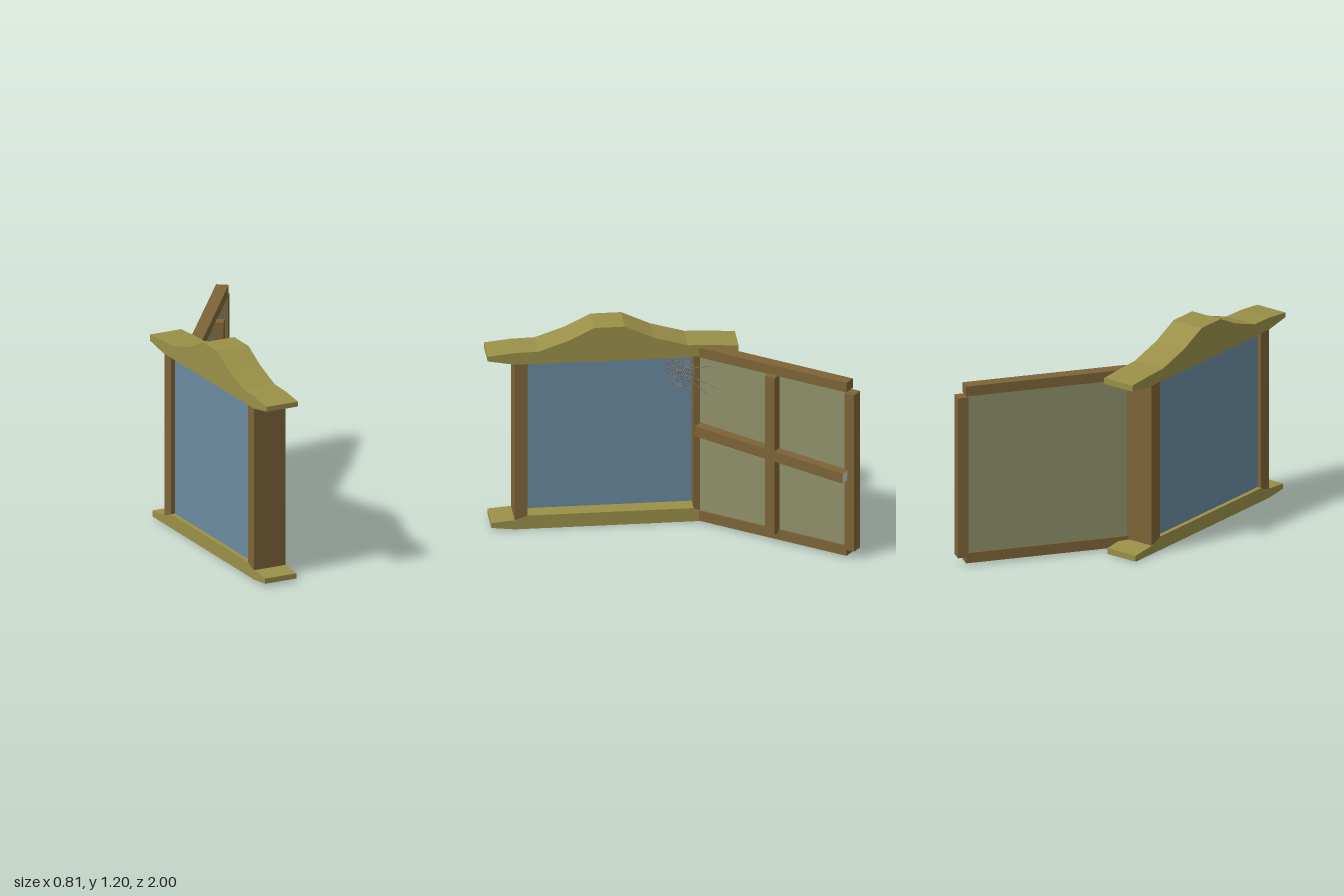
import * as THREE from 'three';
import { mergeGeometries } from 'three/addons/utils/BufferGeometryUtils.js';

const mat = (color) => new THREE.MeshStandardMaterial({ color, flatShading: true });

function add(parent, name, geometry, material) {
  const mesh = new THREE.Mesh(geometry, material);
  mesh.name = name;
  parent.add(mesh);
  return mesh;
}

// Box given by its minimum and maximum corners
function span(x0, x1, y0, y1, z0, z1) {
  return new THREE.BoxGeometry(x1 - x0, y1 - y0, z1 - z0)
    .translate((x0 + x1) / 2, (y0 + y1) / 2, (z0 + z1) / 2);
}

// Side profile of [z, y] points, extruded across the depth of the frame
function profile(points) {
  const shape = new THREE.Shape(points.map(([z, y]) => new THREE.Vector2(z, y)));
  return new THREE.ExtrudeGeometry(shape, { depth: 0.195, bevelEnabled: false })
    .rotateY(-Math.PI / 2).translate(-0.215, 0, 0);
}

// Thin straight thread between two points
function thread(a, b) {
  return new THREE.TubeGeometry(new THREE.LineCurve3(a, b), 1, 0.0022, 4);
}

export function createModel() {
  const group = new THREE.Group();
  const wood = mat(0x7d6438);
  const trim = mat(0x9a9048);
  const glass = mat(0x6a8ba0);
  const pane = mat(0x8f916a);
  const grey = mat(0xcccccc);
  const silk = mat(0x777777);

  // Fixed frame
  const frame = new THREE.Group();
  frame.name = 'windowFrame';
  group.add(frame);

  add(frame, 'crown', profile([
    [1.0, 1.022], [0.85, 0.995], [-0.23, 0.99], [-0.39, 1.015], [-0.39, 1.05],
    [-0.24, 1.06], [-0.11, 1.065], [0.08, 1.12], [0.24, 1.195],
    [0.41, 1.195], [0.55, 1.125], [0.72, 1.067], [0.85, 1.065], [1.0, 1.05],
  ]), trim);

  add(frame, 'sill', profile([
    [0.98, 0.015], [0.85, 0], [-0.36, 0], [-0.36, 0.035], [-0.21, 0.05],
    [-0.14, 0.08], [0.78, 0.08], [0.85, 0.055], [0.98, 0.045],
  ]), trim);

  for (const [name, outer, inner] of [['frontPost', 0.85, 0.78], ['hingePost', -0.215, -0.14]]) {
    const pts = [[outer, 0.05], [inner, 0.078], [inner, 0.995], [outer, 0.995]];
    add(frame, name, profile(outer < inner ? pts : pts.reverse()), wood);
  }

  add(frame, 'glass', span(-0.385, -0.315, 0.07, 1.0, -0.15, 0.79), glass);

  // Open shutter: local x runs away from the hinge, local z is its outer face
  const shutter = new THREE.Group();
  shutter.name = 'shutter';
  shutter.position.set(-0.225, 0, -0.25);
  shutter.rotation.y = 0.936;
  group.add(shutter);

  add(shutter, 'shutterPanel', span(-0.048, 0.88, 0.05, 1.01, 0.01, 0.06), pane);
  add(shutter, 'topRail', span(-0.05, 0.888, 0.997, 1.055, 0, 0.07), wood);
  add(shutter, 'bottomRail', span(-0.05, 0.888, 0.01, 0.07, 0, 0.07), wood);
  add(shutter, 'endStile', span(0.875, 0.935, 0.045, 0.99, 0, 0.068), wood);
  add(shutter, 'verticalBar', span(0.396, 0.457, 0.055, 1.003, 0.058, 0.117), wood);

  // Sagging cross bar with pale cut ends
  const bar = add(shutter, 'crossBar', new THREE.BoxGeometry(0.944, 0.06, 0.061),
    [grey, grey, wood, wood, wood, wood]);
  bar.position.set(0.422, 0.533, 0.088);
  bar.rotation.z = -0.079;

  // Cobweb: concentric rings, short spokes and long anchor threads
  const centre = new THREE.Vector3(-0.147, 0.915, 0.121);
  const spokes = 14;
  const at = (r, i) => {
    const a = (i / spokes) * Math.PI * 2;
    const sag = 1 + 0.06 * Math.sin(i * 2.4);
    return new THREE.Vector3(Math.cos(a) * r * sag, Math.sin(a) * r * sag, -0.1 * r).add(centre);
  };
  const threads = [];
  for (let i = 0; i < spokes; i++) {
    threads.push(thread(centre, at(0.097, i)));
    for (let ring = 1; ring <= 8; ring++) {
      threads.push(thread(at(ring * 0.0118, i), at(ring * 0.0118, i + 1)));
    }
  }
  for (const end of [[0.072, 0.83, 0.065], [0.028, 0.965, 0.072], [0.006, 0.79, 0.076], [-0.066, 0.725, 0.104]]) {
    threads.push(thread(centre, new THREE.Vector3(...end)));
  }
  add(shutter, 'cobweb', mergeGeometries(threads), silk);

  return group;
}
